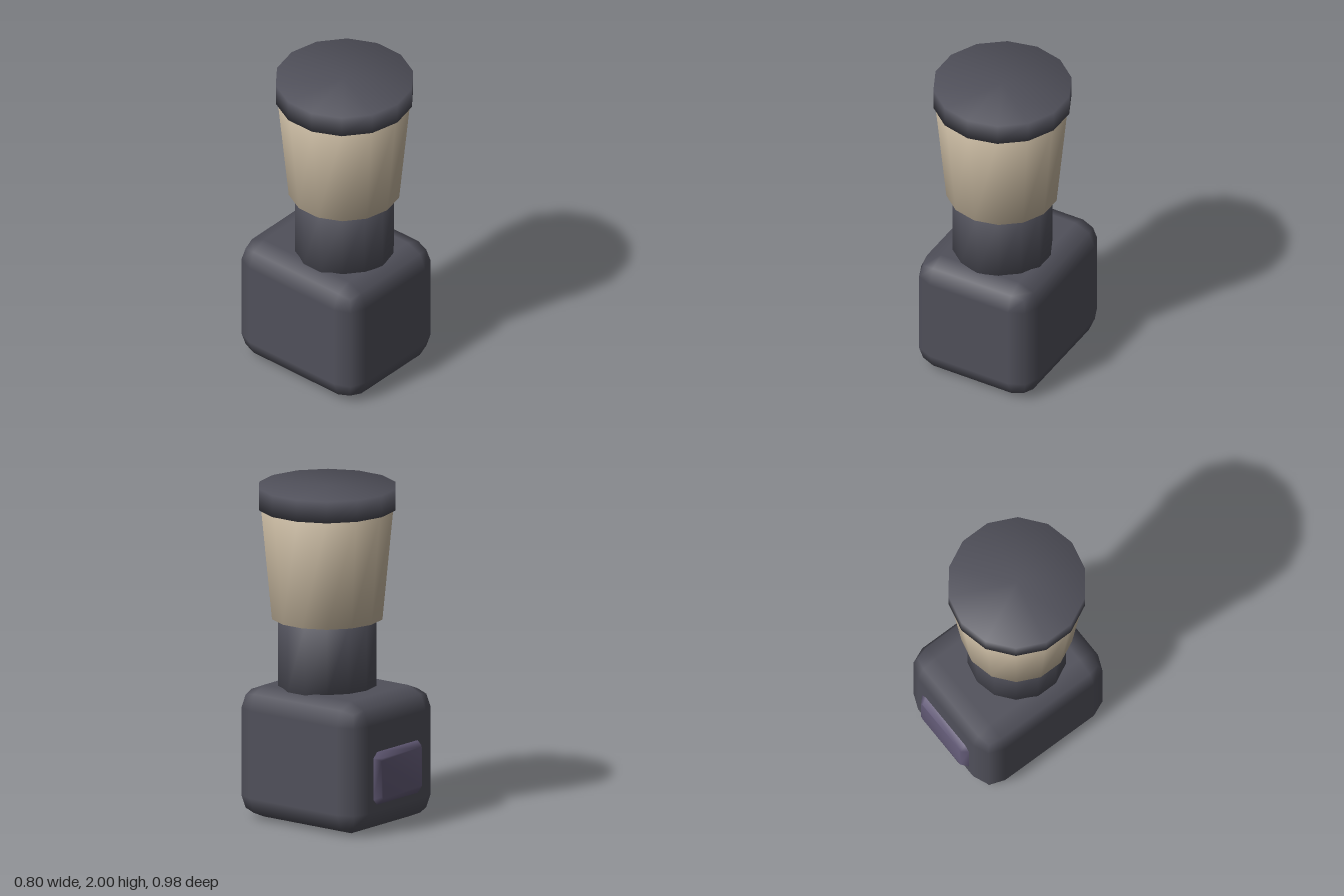
import * as THREE from 'three';
import { mergeVertices } from 'three/addons/utils/BufferGeometryUtils.js';
import { RoundedBoxGeometry } from 'three/addons/geometries/RoundedBoxGeometry.js';

const SIDES = 14;
const AXIS_Z = 0.076; // the round parts sit slightly forward of centre

// Welds shared corners so that shading runs smoothly over every edge
function smooth(geometry) {
  geometry.deleteAttribute('normal');
  geometry.deleteAttribute('uv');
  const welded = mergeVertices(geometry, 1e-4);
  welded.computeVertexNormals();
  return welded;
}

export function createModel() {
  const model = new THREE.Group();
  model.name = 'coffeeGrinder';

  const dark = new THREE.MeshStandardMaterial({ color: 0x50505a });
  const tan = new THREE.MeshStandardMaterial({ color: 0xc6b79f });
  const purple = new THREE.MeshStandardMaterial({ color: 0x635b77 });

  function add(name, geometry, material, x, y, z) {
    const mesh = new THREE.Mesh(geometry, material);
    mesh.name = name;
    mesh.position.set(x, y, z);
    model.add(mesh);
  }

  function addRound(name, topRadius, bottomRadius, bottom, top, material) {
    const geometry = new THREE.CylinderGeometry(topRadius, bottomRadius, top - bottom, SIDES);
    add(name, smooth(geometry), material, 0, (bottom + top) / 2, AXIS_Z);
  }

  // Base block with softly bevelled edges
  add('base', new RoundedBoxGeometry(0.8, 0.8, 0.93, 1, 0.135), dark, 0, 0.4, 0.01);

  // Stacked round parts
  addRound('neck', 0.298, 0.298, 0.79, 1.21, dark);
  addRound('hopper', 0.4, 0.334, 1.205, 1.88, tan);
  addRound('lid', 0.412, 0.412, 1.87, 2, dark);

  // Bevelled plate on the back of the base
  const bevel = 0.035, w = 0.225 - bevel, h = 0.16 - bevel, cut = 0.015;
  const outline = new THREE.Shape([
    [w - cut, -h], [w, cut - h], [w, h - cut], [w - cut, h],
    [cut - w, h], [-w, h - cut], [-w, cut - h], [cut - w, -h],
  ].map(([x, y]) => new THREE.Vector2(x, y)));
  const plate = new THREE.ExtrudeGeometry(outline, {
    depth: 0.03, bevelEnabled: true, bevelSegments: 1, bevelSize: bevel, bevelThickness: bevel,
  });
  add('backPlate', smooth(plate), purple, 0, 0.34, -0.455);

  return model;
}
